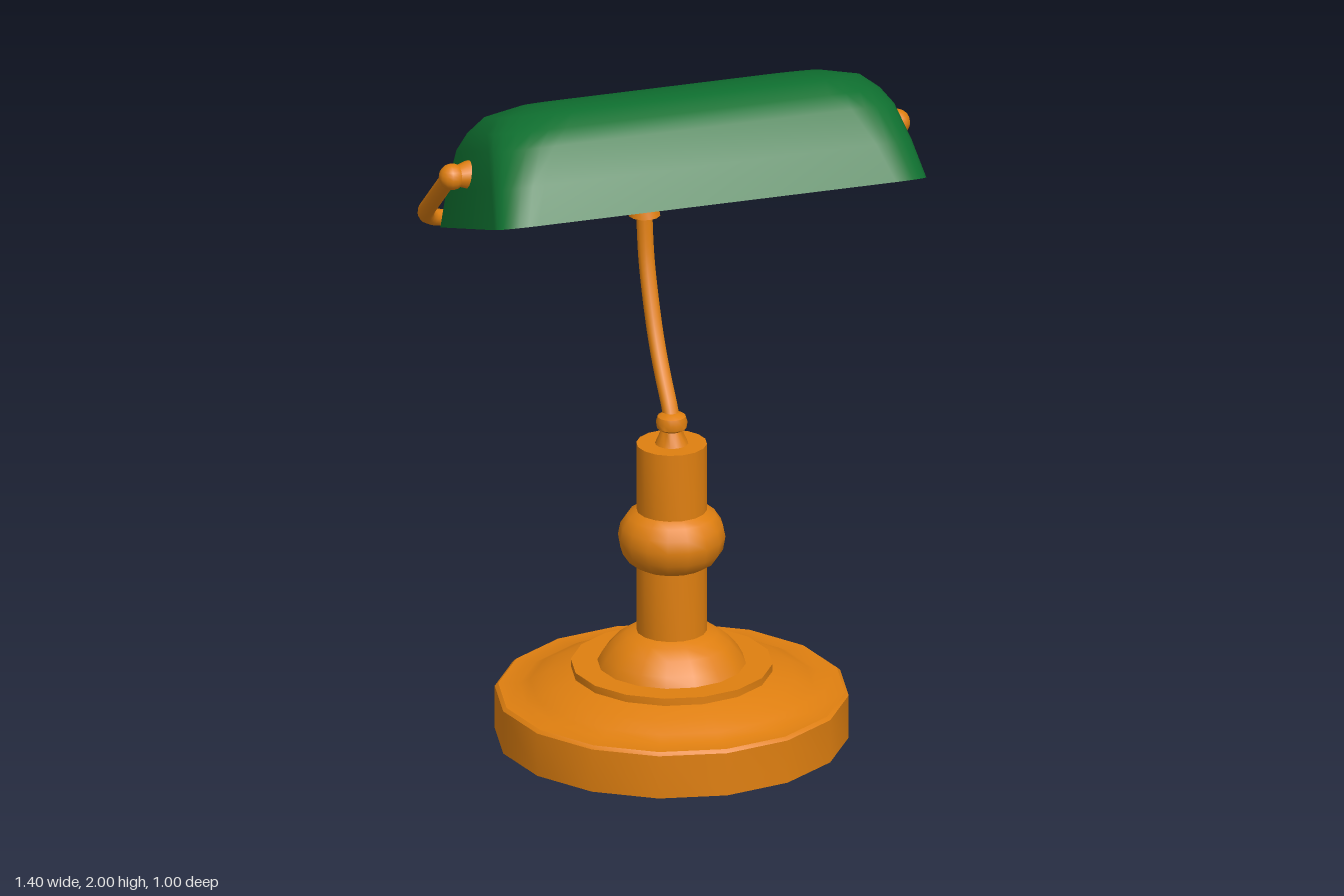
import * as THREE from 'three';
import { toCreasedNormals } from 'three/addons/utils/BufferGeometryUtils.js';

const brass = new THREE.MeshStandardMaterial({ color: 0xdf7f10 });
const green = new THREE.MeshStandardMaterial({ color: 0x0f7030, side: THREE.DoubleSide });

function part(name, geometry, material = brass, pos = [0, 0, 0]) {
  const m = new THREE.Mesh(geometry, material);
  m.name = name;
  m.position.set(...pos);
  return m;
}

function lathe(points, segments = 16) {
  const g = new THREE.LatheGeometry(points.map(p => new THREE.Vector2(...p)), segments);
  return toCreasedNormals(g, 0.7);
}

// Rounded rectangle loop: half width w, half depth d, corner radii rx and rz
function roundedLoop([w, d, v, rx, rz], steps = 6) {
  const out = [];
  for (let c = 0; c < 4; c++) {
    const sx = c === 0 || c === 3 ? 1 : -1, sz = c < 2 ? 1 : -1;
    for (let k = 0; k <= steps; k++) {
      const t = (c + k / steps) * Math.PI / 2;
      out.push([sx * (w - rx) + Math.cos(t) * rx, v, sz * (d - rz) + Math.sin(t) * rz]);
    }
  }
  return out;
}

// Skin over a stack of equal-length loops
function loft(loops) {
  const n = loops[0].length, index = [];
  for (let i = 0; i < loops.length - 1; i++) {
    for (let j = 0; j < n; j++) {
      const a = i * n + j, b = i * n + (j + 1) % n;
      index.push(a, a + n, b, b, a + n, b + n);
    }
  }
  const g = new THREE.BufferGeometry();
  g.setAttribute('position', new THREE.Float32BufferAttribute(loops.flat(2), 3));
  g.setIndex(index);
  return toCreasedNormals(g, 0.75);
}

function makeShade() {
  // half width, half depth, height, corner radii
  const outer = [
    [0.64, 0.325, 0, 0.11, 0.07],
    [0.622, 0.298, 0.11, 0.13, 0.09],
    [0.6, 0.266, 0.215, 0.16, 0.12],
    [0.58, 0.235, 0.262, 0.19, 0.15],
    [0.54, 0.187, 0.303, 0.19, 0.15],
    [0.44, 0.09, 0.325, 0.12, 0.08],
    [0.3, 0, 0.329, 0, 0],
  ];
  const t = 0.016; // wall thickness
  const inner = outer.map(([w, d, v, rx, rz]) => [
    w - t, Math.max(d - t, 0), v && v - t,
    Math.max(rx - t, 0), Math.max(rz - t, 0),
  ]).reverse();
  const shade = part('shade', loft([...inner, ...outer].map(r => roundedLoop(r))), green, [0, 1.65, 0.105]);
  shade.rotation.x = -0.348;
  return shade;
}

export function createModel() {
  const lamp = new THREE.Group();
  lamp.name = 'deskLamp';

  // Stepped base
  lamp.add(part('base', lathe([
    [0, 0], [0.5, 0], [0.5, 0.128], [0.49, 0.137], [0.43, 0.137], [0.4, 0.153],
    [0.35, 0.177], [0.285, 0.195], [0.285, 0.217], [0.21, 0.217], [0.195, 0.245],
    [0.165, 0.28], [0.13, 0.305], [0.1, 0.315],
  ])));

  // Column with a rounded knop
  lamp.add(part('column', lathe([
    [0.1, 0.3], [0.1, 0.515], [0.125, 0.53], [0.145, 0.56], [0.152, 0.6], [0.145, 0.635],
    [0.125, 0.665], [0.1, 0.68], [0.1, 0.88], [0, 0.88],
  ])));

  // Small finial where the stem enters the column
  lamp.add(part('stemSocket', lathe([
    [0.047, 0.88], [0.03, 0.92], [0.042, 0.928], [0.045, 0.945], [0.04, 0.962], [0.022, 0.972], [0, 0.972],
  ])));

  // Curved stem
  const stemCurve = new THREE.CatmullRomCurve3([
    [0.95, 0], [0.98, -0.017], [1.05, -0.075], [1.12, -0.125], [1.2, -0.168],
    [1.35, -0.225], [1.48, -0.245], [1.53, -0.248],
  ].map(([y, z]) => new THREE.Vector3(0, y, z)));
  lamp.add(part('stem', new THREE.TubeGeometry(stemCurve, 28, 0.024, 10)));

  // Collar and sleeve joining stem to yoke
  lamp.add(part('collar', lathe([[0, 0], [0.046, 0], [0.032, 0.05], [0, 0.05]], 12), brass, [0, 1.48, -0.245]));
  const sleeve = part('sleeve', toCreasedNormals(new THREE.CylinderGeometry(0.032, 0.032, 0.066, 12), 0.7),
    brass, [0, 1.54, -0.257]);
  sleeve.rotation.z = Math.PI / 2;
  lamp.add(sleeve);

  // U-shaped yoke with rounded corners
  const pivot = s => new THREE.Vector3(s * 0.668, 1.78, 0.025);
  const corner = s => new THREE.Vector3(s * 0.668, 1.54, -0.255);
  const yokeCurve = new THREE.CurvePath();
  const bendStart = s => corner(s).lerp(pivot(s), 0.3);
  const bendEnd = s => corner(s).setX(s * 0.54);
  yokeCurve.add(new THREE.LineCurve3(pivot(-1), bendStart(-1)));
  yokeCurve.add(new THREE.QuadraticBezierCurve3(bendStart(-1), corner(-1), bendEnd(-1)));
  yokeCurve.add(new THREE.LineCurve3(bendEnd(-1), bendEnd(1)));
  yokeCurve.add(new THREE.QuadraticBezierCurve3(bendEnd(1), corner(1), bendStart(1)));
  yokeCurve.add(new THREE.LineCurve3(bendStart(1), pivot(1)));
  lamp.add(part('yoke', new THREE.TubeGeometry(yokeCurve, 90, 0.024, 10)));

  // Pivot knobs on both ends of the shade
  for (const s of [1, -1]) {
    const side = s > 0 ? 'left' : 'right';
    lamp.add(part(side + 'PivotBall', new THREE.SphereGeometry(0.038, 14, 10), brass, [s * 0.66, 1.78, 0.025]));
    const stub = part(side + 'PivotStub', lathe([[0, 0], [0.042, 0], [0.04, 0.015], [0.028, 0.05], [0, 0.05]], 12),
      brass, [s * 0.602, 1.78, 0.025]);
    stub.rotation.z = -s * Math.PI / 2;
    lamp.add(stub);
  }

  lamp.add(makeShade());
  return lamp;
}
